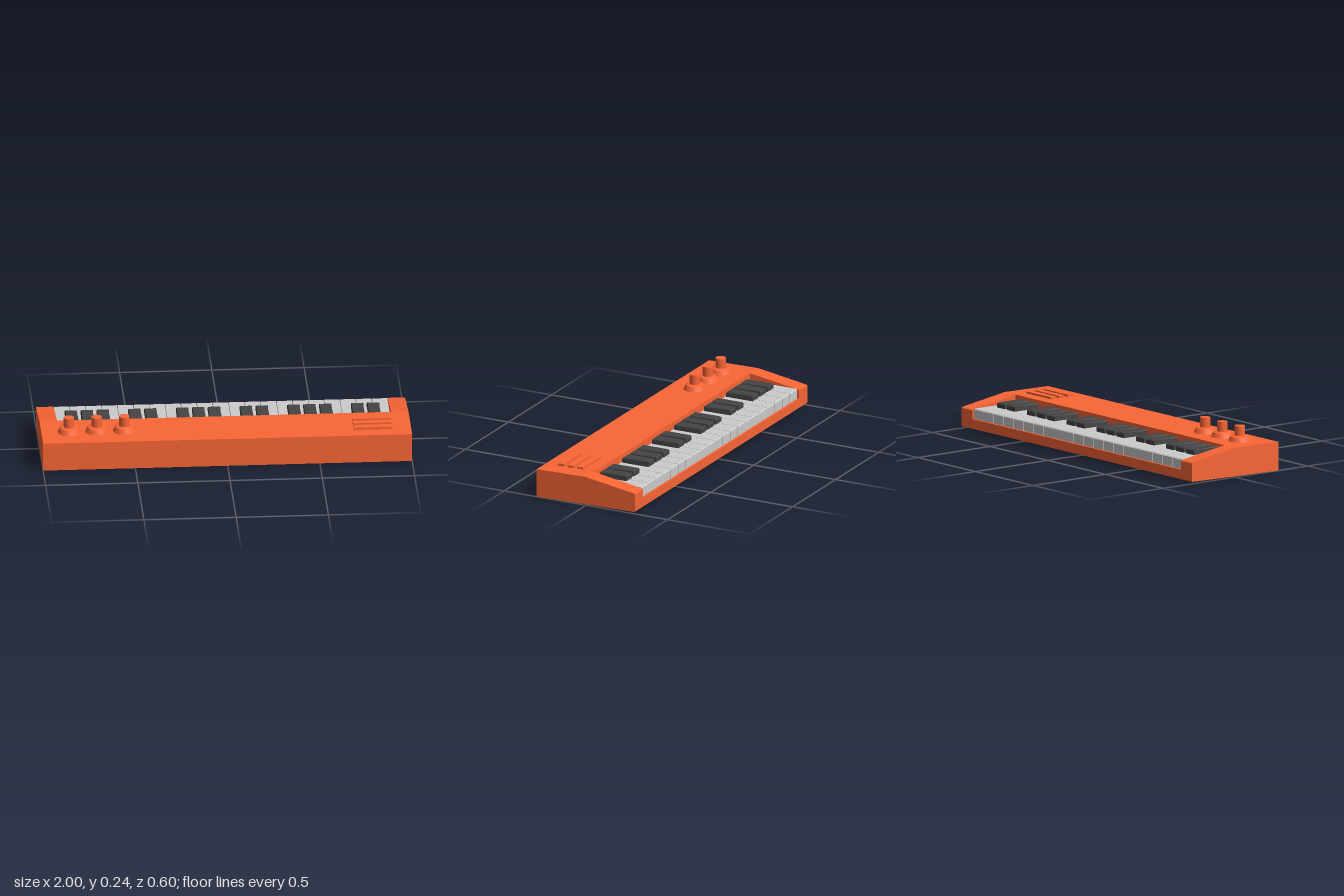
import * as THREE from 'three';

const orange = new THREE.MeshStandardMaterial({ color: 0xfa6635 });
const dark = new THREE.MeshStandardMaterial({ color: 0x444444 });
const grey = new THREE.MeshStandardMaterial({ color: 0xcccccc });

// Side profile of [z, y] points, stretched along x from x0 to x1
function profileGeometry(points, x0, x1) {
  const shape = new THREE.Shape(points.map(([z, y]) => new THREE.Vector2(-z, y)));
  const geometry = new THREE.ExtrudeGeometry(shape, { depth: x1 - x0, bevelEnabled: false });
  return geometry.rotateY(Math.PI / 2).translate(x0, 0, 0);
}

function add(parent, name, geometry, material) {
  const mesh = new THREE.Mesh(geometry, material);
  mesh.name = name;
  parent.add(mesh);
  return mesh;
}

export function createModel() {
  const model = new THREE.Group();
  model.name = 'keyboard';
  const bed = 0.905; // half width of the key bed

  // Case: two full-height cheeks and a middle with a recess for the keys
  const cheek = [[0.3, 0.002], [0.3, 0.16], [0, 0.164], [-0.296, 0.118],
    [-0.3, 0.113], [-0.3, 0.015], [-0.297, 0.012]];
  const middle = [[0.3, 0.002], [0.3, 0.16], [0, 0.164], [0, 0.066],
    [-0.3, 0.066], [-0.3, 0.015], [-0.297, 0.012]];
  add(model, 'rightCheek', profileGeometry(cheek, -1, -bed), orange);
  add(model, 'caseMiddle', profileGeometry(middle, -bed, bed), orange);
  add(model, 'leftCheek', profileGeometry(cheek, bed, 1), orange);

  // White keys
  const keyCount = 21;
  const pitch = (2 * bed) / keyCount;
  const whiteProfile = [[-0.002, 0.064], [-0.002, 0.122], [-0.283, 0.122],
    [-0.288, 0.117], [-0.288, 0.064]];
  const whiteGeometry = profileGeometry(whiteProfile, -pitch / 2 + 0.0015, pitch / 2 - 0.0015);
  const whiteKeys = new THREE.Group();
  whiteKeys.name = 'whiteKeys';
  for (let i = 0; i < keyCount; i++) {
    add(whiteKeys, 'whiteKey', whiteGeometry, grey).position.x = -bed + (i + 0.5) * pitch;
  }
  model.add(whiteKeys);

  // Black keys, grouped in threes and twos; the upper faces taper slightly
  const blackGeometry = profileGeometry([[-0.008, 0.11], [-0.008, 0.144], [-0.013, 0.15],
    [-0.165, 0.15], [-0.17, 0.145], [-0.17, 0.11]], -0.034, 0.034);
  const p = blackGeometry.attributes.position;
  for (let i = 0; i < p.count; i++) {
    if (p.getY(i) > 0.148) p.setX(i, p.getX(i) * 0.9);
  }
  blackGeometry.computeVertexNormals();
  const blackKeys = new THREE.Group();
  blackKeys.name = 'blackKeys';
  for (let i = 1; i < keyCount; i++) {
    if (i % 7 === 4 || i % 7 === 0) continue;
    add(blackKeys, 'blackKey', blackGeometry, dark).position.x = -bed + i * pitch;
  }
  model.add(blackKeys);

  // Knobs: flared skirt, shallow shoulder and a stem
  for (const x of [-0.85, -0.7, -0.55]) {
    const knob = new THREE.Group();
    knob.name = 'knob';
    knob.position.set(x, 0.16, 0.15);
    add(knob, 'skirt', new THREE.CylinderGeometry(0.05, 0.063, 0.028, 24), orange).position.y = 0.013;
    add(knob, 'shoulder', new THREE.CylinderGeometry(0.038, 0.05, 0.006, 24), orange).position.y = 0.03;
    add(knob, 'stem', new THREE.CylinderGeometry(0.0285, 0.0285, 0.056, 24), orange).position.y = 0.058;
    model.add(knob);
  }

  // Raised speaker bars
  for (const z of [0.089, 0.147, 0.206]) {
    add(model, 'speakerBar', new THREE.BoxGeometry(0.21, 0.02, 0.038), orange).position.set(0.793, 0.164, z);
  }
  return model;
}
